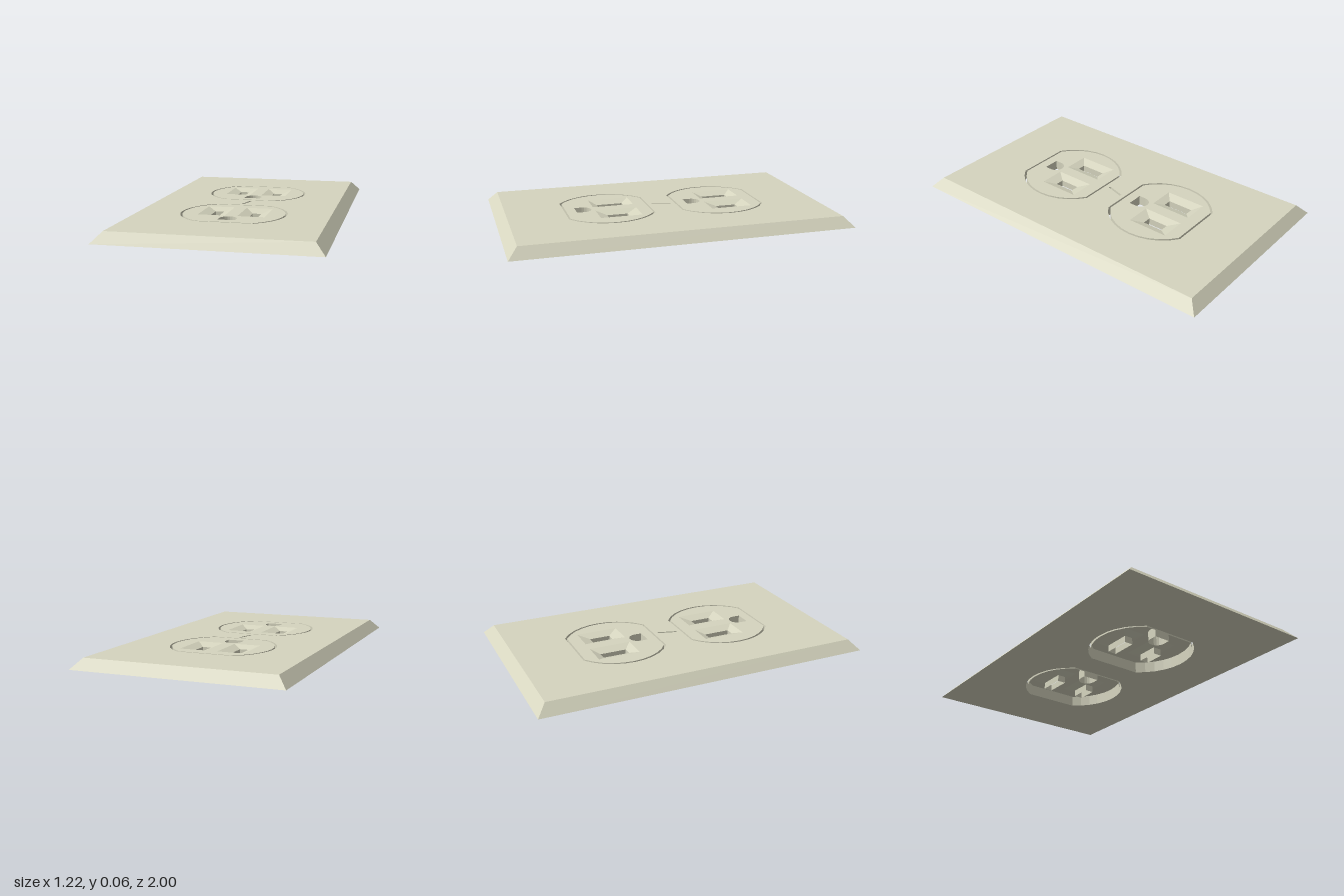
import * as THREE from 'three';

const TOP = 0.06;      // height of the plate face
const RECESS = 0.04;   // height where the blade slots begin
const material = new THREE.MeshStandardMaterial({
  color: 0xd6d5bf, flatShading: true, side: THREE.DoubleSide,
});

// Outlines are loops of [x, z] points, all running the same way round.
const rect = (x0, x1, z0, z1) => [[x0, z0], [x1, z0], [x1, z1], [x0, z1]];
const shift = (loop, dz) => loop.map(([x, z]) => [x, z + dz]);

// Circle cut flat at front and back
function clippedCircle(radius, half) {
  const a = Math.asin(half / radius), n = 10, loop = [];
  for (const mid of [0, Math.PI]) {
    for (let i = 0; i <= n; i++) {
      const t = mid - a + (2 * a * i) / n;
      loop.push([radius * Math.cos(t), radius * Math.sin(t)]);
    }
  }
  return loop;
}

// Half round at the back, square at the front
function archLoop(r, zCentre, zFlat) {
  const loop = [];
  for (let i = 0; i <= 10; i++) {
    const t = Math.PI * (1 + i / 10);
    loop.push([r * Math.cos(t), zCentre + r * Math.sin(t)]);
  }
  return [...loop, [r, zFlat], [-r, zFlat]];
}

function add(parent, name, geometry) {
  const mesh = new THREE.Mesh(geometry, material);
  mesh.name = name;
  parent.add(mesh);
}

// Horizontal sheet with holes, facing up or down
function sheet(outline, holes, y, down = false) {
  const s = down ? 1 : -1;
  const points = (loop) => loop.map(([x, z]) => new THREE.Vector2(x, s * z));
  const shape = new THREE.Shape(points(outline));
  shape.holes = holes.map((h) => new THREE.Path(points(h)));
  return new THREE.ShapeGeometry(shape).rotateX((s * Math.PI) / 2).translate(0, y, 0);
}

// Band between two loops: faces outward if the first is lower, inward if it is higher
function band(a, ya, b, yb) {
  const pos = [];
  a.forEach((p, i) => {
    const j = (i + 1) % a.length;
    const a0 = [p[0], ya, p[1]], a1 = [a[j][0], ya, a[j][1]];
    const b0 = [b[i][0], yb, b[i][1]], b1 = [b[j][0], yb, b[j][1]];
    pos.push(...a0, ...b0, ...a1, ...a1, ...b0, ...b1);
  });
  const g = new THREE.BufferGeometry();
  g.setAttribute('position', new THREE.Float32BufferAttribute(pos, 3));
  g.computeVertexNormals();
  return g;
}

// One socket insert: face, skirt, two funnelled blade slots and a ground hole
function makeSocket() {
  const socket = new THREE.Group();
  socket.name = 'socket';
  const outline = clippedCircle(0.296, 0.248);
  const ground = archLoop(0.05, 0.145, 0.19);
  const slots = [
    { funnel: rect(-0.195, -0.037, -0.173, 0.077), slot: rect(-0.142, -0.09, -0.126, 0.031) },
    { funnel: rect(0.037, 0.193, -0.173, 0.077), slot: rect(0.086, 0.139, -0.109, 0.015) },
  ];
  add(socket, 'socketFace', sheet(outline, [ground, ...slots.map((s) => s.funnel)], TOP));
  add(socket, 'socketSkirt', band(outline, 0, outline, TOP));
  add(socket, 'groundHole', band(ground, TOP, ground, 0));
  for (const { funnel, slot } of slots) {
    add(socket, 'slotFunnel', band(funnel, TOP, slot, RECESS));
    add(socket, 'bladeSlot', band(slot, RECESS, slot, 0));
  }
  return socket;
}

export function createModel() {
  const model = new THREE.Group();
  model.name = 'outletPlate';
  const centres = [-0.343, 0.343];

  // Bevelled cover plate with two openings
  const base = rect(-0.61, 0.61, -1, 1);
  const face = rect(-0.554, 0.554, -0.944, 0.944);
  const openings = centres.map((z) => shift(clippedCircle(0.309, 0.259), z));

  // Slanted screw groove between the sockets
  const tilt = 0.28;
  const groove = rect(-0.007, 0.007, -0.058, 0.058).map(([x, z]) => [
    x * Math.cos(tilt) - z * Math.sin(tilt),
    x * Math.sin(tilt) + z * Math.cos(tilt),
  ]);

  add(model, 'plateFace', sheet(face, [...openings, groove], TOP));
  add(model, 'plateBevel', band(base, 0, face, TOP));
  add(model, 'plateBack', sheet(base, openings, 0, true));
  for (const o of openings) add(model, 'openingWall', band(o, TOP, o, 0));
  add(model, 'screwGrooveWall', band(groove, TOP, groove, 0.04));
  add(model, 'screwGrooveFloor', sheet(groove, [], 0.04));

  for (const z of centres) {
    const socket = makeSocket();
    socket.position.z = z;
    model.add(socket);
  }
  return model;
}
